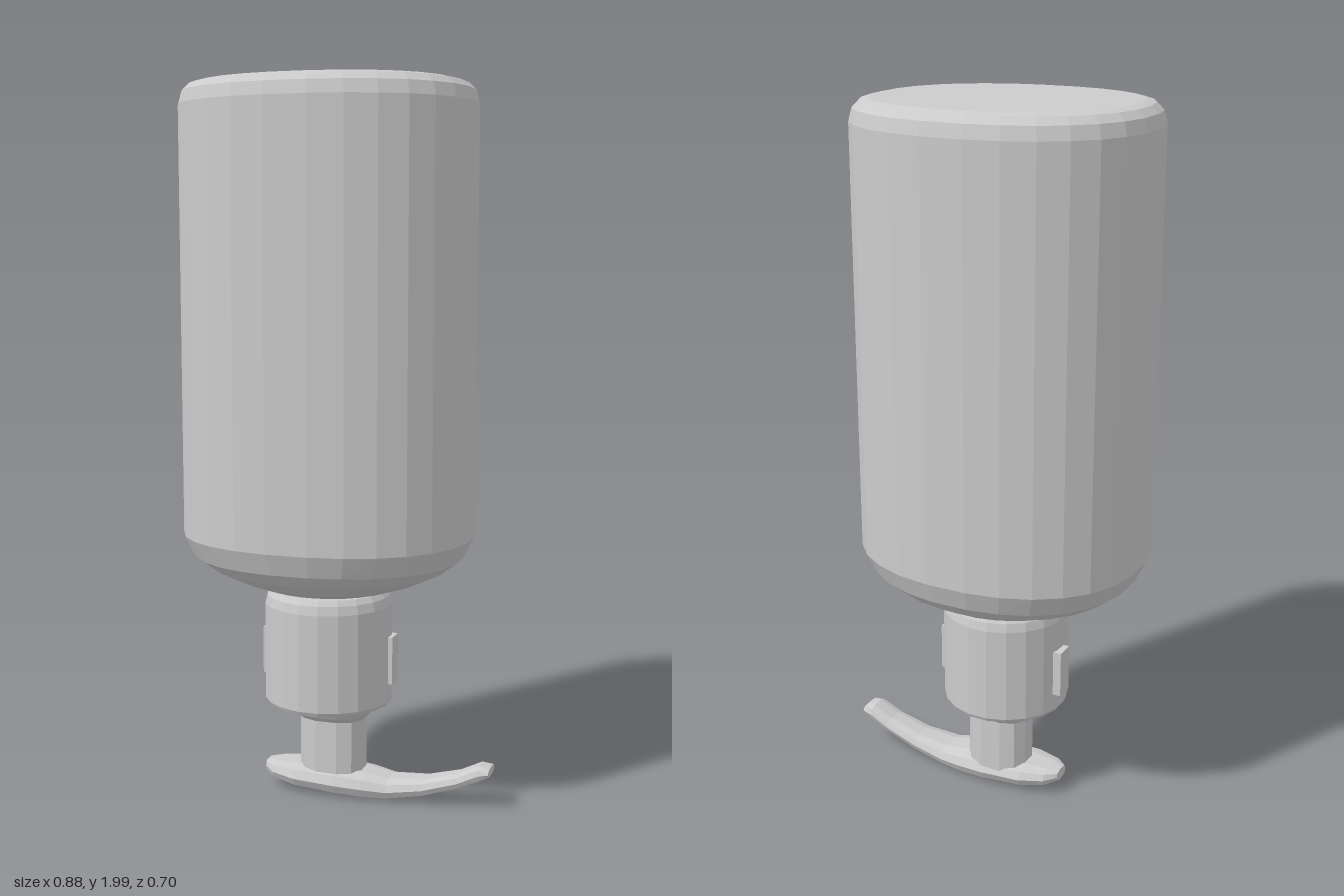
import * as THREE from 'three';

const material = new THREE.MeshStandardMaterial({ color: 0xcccccc, flatShading: true });

// Skins a list of equal-length rings and closes both ends
function loft(rings) {
  const n = rings[0].length;
  const positions = [], index = [];
  for (const ring of rings) for (const p of ring) positions.push(...p);
  for (let r = 0; r < rings.length - 1; r++) {
    for (let i = 0; i < n; i++) {
      const a = r * n + i, b = r * n + (i + 1) % n;
      index.push(a, a + n, b, b, a + n, b + n);
    }
  }
  const last = (rings.length - 1) * n;
  for (let i = 1; i < n - 1; i++) {
    index.push(0, i, i + 1);
    index.push(last, last + i + 1, last + i);
  }
  const geometry = new THREE.BufferGeometry();
  geometry.setAttribute('position', new THREE.Float32BufferAttribute(positions, 3));
  geometry.setIndex(index);
  geometry.computeVertexNormals();
  return geometry;
}

// Horizontal superellipse ring
function flatRing(y, cx, cz, rx, rz, sides, power = 2) {
  const bend = (v) => Math.sign(v) * Math.abs(v) ** (2 / power);
  return Array.from({ length: sides }, (_, i) => {
    const a = ((i + 0.5) / sides) * Math.PI * 2;
    return [cx + rx * bend(Math.cos(a)), y, cz + rz * bend(Math.sin(a))];
  });
}

// Upright ring across the nozzle
function crossRing(x, bottom, top, halfWidth, sides = 10) {
  return Array.from({ length: sides }, (_, i) => {
    const a = (i / sides) * Math.PI * 2;
    const bend = (v) => Math.sign(v) * Math.abs(v) ** 0.75;
    return [x, (bottom + top) / 2 + (top - bottom) / 2 * bend(Math.sin(a)),
      -0.003 + halfWidth * bend(Math.cos(a))];
  });
}

export function createModel() {
  const model = new THREE.Group();
  model.name = 'invertedPumpBottle';
  const add = (name, geometry) => {
    const mesh = new THREE.Mesh(geometry, material);
    mesh.name = name;
    model.add(mesh);
    return mesh;
  };
  const cx = -0.035;

  // Oval bottle: y, half width, half depth, superellipse power
  const bottle = [
    [0.612, 0.19, 0.175, 2], [0.635, 0.26, 0.235, 2], [0.67, 0.335, 0.295, 2.1],
    [0.705, 0.38, 0.33, 2.2], [0.765, 0.409, 0.352, 2.25], [1.94, 0.409, 0.352, 2.25],
    [1.975, 0.4, 0.343, 2.25], [1.994, 0.38, 0.325, 2.25], [2, 0.355, 0.305, 2.25],
  ];
  add('bottle', loft(bottle.map(([y, rx, rz, p]) => flatRing(y, cx, 0, rx, rz, 28, p))));

  // Neck joining bottle and collar
  add('neck', loft([0.59, 0.62].map((y) => flatRing(y, cx, 0.005, 0.12, 0.12, 16))));

  // Screw collar
  const collar = [[0.28, 0.176], [0.29, 0.181], [0.565, 0.181], [0.59, 0.175], [0.605, 0.165]];
  add('collar', loft(collar.map(([y, r]) => flatRing(y, cx, 0.005, r, r, 20))));

  // Raised tabs on both sides of the collar
  for (const side of [-1, 1]) {
    const tab = add(side > 0 ? 'leftCollarTab' : 'rightCollarTab', new THREE.BoxGeometry(0.04, 0.135, 0.055));
    tab.position.set(cx - 0.003 + side * 0.174, 0.407, -0.013);
  }

  // Tapered shoulder and pump stem
  const stem = [
    [0.05, 0.095, 0.074], [0.225, 0.095, 0.072], [0.24, 0.11, 0.09],
    [0.265, 0.135, 0.105], [0.285, 0.145, 0.11],
  ];
  add('pumpStem', loft(stem.map(([y, rx, rz]) => flatRing(y, -0.026, -0.01, rx, rz, 12, 2.4))));

  // Curved pump head and spout: x, bottom, top, half width
  const head = [
    [-0.222, 0.045, 0.078, 0.03], [-0.19, 0.032, 0.082, 0.06], [-0.12, 0.02, 0.085, 0.083],
    [0, 0.011, 0.084, 0.088], [0.08, 0.007, 0.078, 0.08], [0.15, 0.008, 0.066, 0.066],
    [0.25, 0.025, 0.075, 0.053], [0.35, 0.058, 0.102, 0.046], [0.41, 0.084, 0.132, 0.043],
    [0.44, 0.102, 0.126, 0.04],
  ];
  add('pumpHead', loft(head.map((s) => crossRing(...s))));

  return model;
}
